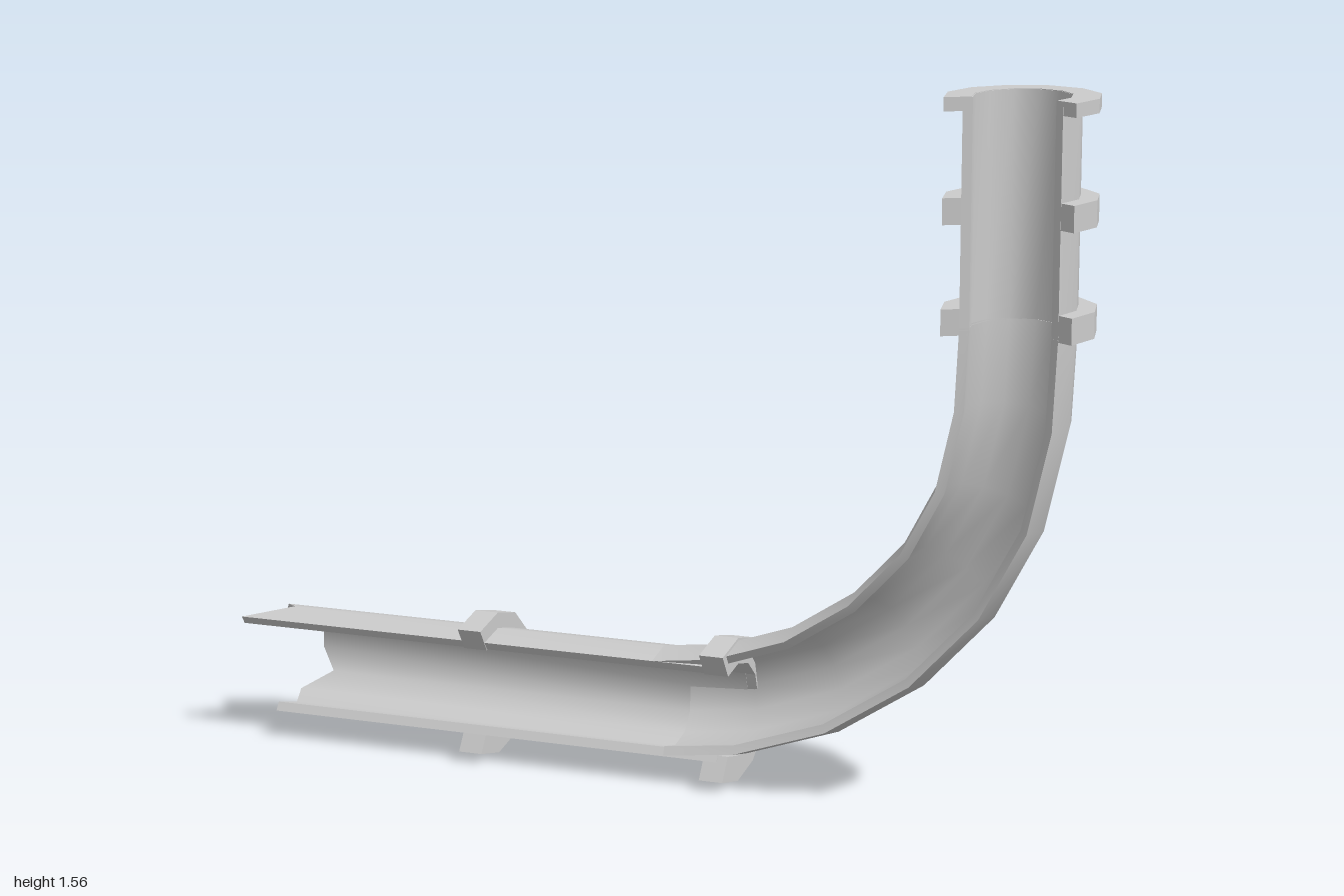
import * as THREE from 'three';
import { mergeGeometries } from 'three/addons/utils/BufferGeometryUtils.js';

const ARC_STEPS = 8;   // 240 degree open section, 30 degrees per step
const CENTRE_Z = 0.0475;
const PIPE = { outer: [0.125, 0.147], inner: [0.104, 0.122] };
const RING = { outer: [0.165, 0.19], inner: [0.106, 0.124] };

// Smooth patch over a grid of points; it faces along row x column
function patch(rows) {
  const n = rows[0].length;
  const index = [];
  for (let r = 0; r < rows.length - 1; r++) {
    for (let c = 0; c < n - 1; c++) {
      const a = r * n + c;
      index.push(a, a + n, a + 1, a + 1, a + n, a + n + 1);
    }
  }
  const geometry = new THREE.BufferGeometry().setFromPoints(rows.flat());
  geometry.setIndex(index);
  geometry.computeVertexNormals();
  return geometry;
}

// Open tube swept along [x, y] points, with rims and end faces.
// startEdge gives x for each step of a broken first end.
function sweep(path, section, startEdge) {
  const pts = path.map(([x, y]) => new THREE.Vector2(x, y));
  const last = pts.length - 1;
  const direction = (i) => pts[i + 1].clone().sub(pts[i]).normalize();

  const layer = ([a, b]) => pts.map((p, i) => {
    // Mitred side direction at each joint
    const before = direction(Math.max(i - 1, 0));
    const after = direction(Math.min(i, last - 1));
    const d = before.clone().add(after).normalize();
    const stretch = 1 / d.dot(after);
    return Array.from({ length: ARC_STEPS + 1 }, (_, j) => {
      const t = (j - 1) * Math.PI / 6;
      const w = a * Math.cos(t) * stretch;
      const x = i === 0 && startEdge ? startEdge[j] : p.x - d.y * w;
      return new THREE.Vector3(x, p.y + d.x * w, CENTRE_Z - b * Math.sin(t));
    });
  });

  const outer = layer(section.outer);
  const inner = layer(section.inner);
  const pairs = (a, b) => a.map((p, i) => [p, b[i]]);
  const column = (rows, j) => rows.map((row) => row[j]);
  return mergeGeometries([
    patch(outer),
    patch(inner.map((row) => [...row].reverse())),
    patch(pairs(column(inner, 0), column(outer, 0))),
    patch(pairs(column(outer, ARC_STEPS), column(inner, ARC_STEPS))),
    patch(pairs(outer[0], inner[0])),
    patch(pairs(inner[last], outer[last])),
  ]);
}

export function createModel() {
  const group = new THREE.Group();
  const smooth = new THREE.MeshStandardMaterial({ color: 0xcccccc, side: THREE.DoubleSide });
  const flat = new THREE.MeshStandardMaterial({ color: 0xcccccc, flatShading: true });
  const add = (name, geometry, material) => {
    const mesh = new THREE.Mesh(geometry, material);
    mesh.name = name;
    group.add(mesh);
  };

  // Straight pipe with a jagged broken end
  const brokenEdge = [-1, -0.9, -0.955, -0.88, -0.89, -0.857, -0.92, -0.9, -0.915];
  add('horizontalPipe', sweep([[-0.9, 0.17], [0.18, 0.17]], PIPE, brokenEdge), smooth);

  // Faceted elbow
  add('elbowPipe', sweep([
    [0.04, 0.171], [0.195, 0.19], [0.385, 0.255], [0.555, 0.365],
    [0.69, 0.51], [0.78, 0.68], [0.825, 0.88], [0.834, 1.07],
  ], PIPE), smooth);

  // Upright pipe
  add('verticalPipe', sweep([[0.834, 1.07], [0.834, 1.564]], PIPE), smooth);

  // Collars on the horizontal run
  for (const x of [-0.41, 0.175]) {
    add('horizontalCollar', sweep([[x - 0.028, 0.166], [x + 0.028, 0.166]], RING), flat);
  }

  // Collars on the upright run and the thin flange at its top
  for (const [low, high] of [[1.06, 1.117], [1.296, 1.353]]) {
    add('verticalCollar', sweep([[0.834, low], [0.834, high]], RING), flat);
  }
  add('topFlange', sweep([[0.834, 1.535], [0.834, 1.565]], RING), flat);
  return group;
}
